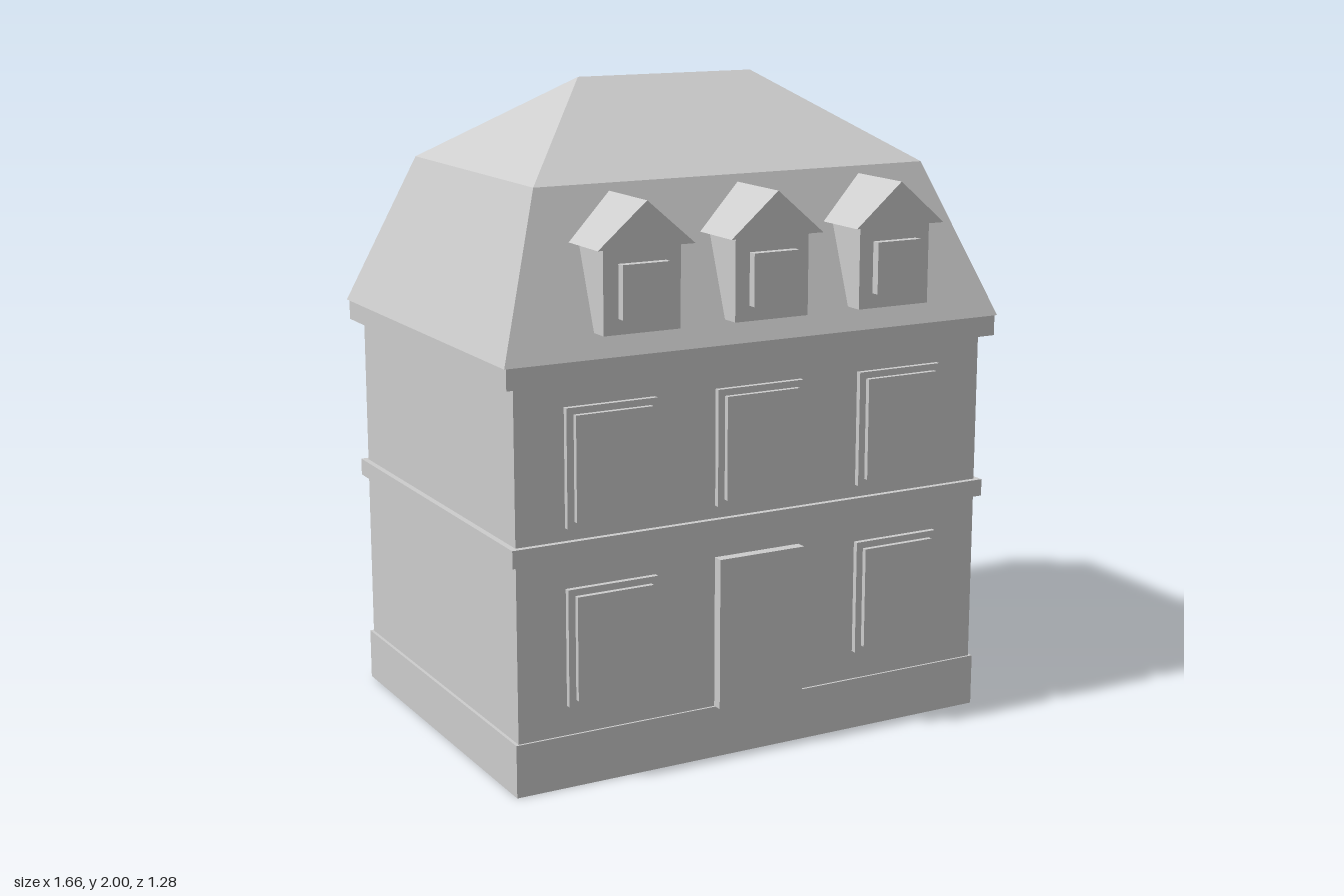
import * as THREE from 'three';

const stone = new THREE.MeshStandardMaterial({ color: 0xcccccc });
stone.name = 'pale grey';

const ZC = -0.03; // the house body sits slightly behind the centre

export function createModel() {
  const house = new THREE.Group();
  house.name = 'house';

  function add(name, geometry, parent = house) {
    const mesh = new THREE.Mesh(geometry, stone);
    mesh.name = name;
    parent.add(mesh);
    return mesh;
  }

  // Box given by its limits on each axis
  function box(name, x0, x1, y0, y1, z0, z1, parent) {
    const mesh = add(name, new THREE.BoxGeometry(x1 - x0, y1 - y0, z1 - z0), parent);
    mesh.position.set((x0 + x1) / 2, (y0 + y1) / 2, (z0 + z1) / 2);
    return mesh;
  }

  // Box centred on the house axis
  const tier = (name, hx, hz, y0, y1) => box(name, -hx, hx, y0, y1, ZC - hz, ZC + hz);

  // Box whose top is narrowed to the given half sizes
  function taperedTier(name, hx, hz, topX, topZ, y0, y1) {
    const mesh = tier(name, hx, hz, y0, y1);
    const p = mesh.geometry.attributes.position;
    for (let i = 0; i < p.count; i++) {
      if (p.getY(i) > 0) {
        p.setX(i, Math.sign(p.getX(i)) * topX);
        p.setZ(i, Math.sign(p.getZ(i)) * topZ);
      }
    }
    mesh.geometry = mesh.geometry.toNonIndexed();
    mesh.geometry.computeVertexNormals();
    return mesh;
  }

  // Masonry
  tier('foundation', 0.8, 0.577, 0, 0.16);
  tier('walls', 0.79, 0.57, 0.16, 1.21);
  tier('beltCourse', 0.808, 0.588, 0.692, 0.745);
  tier('cornice', 0.825, 0.604, 1.207, 1.27);

  // Mansard roof: steep lower slope
  taperedTier('lowerRoof', 0.832, 0.608, 0.655, 0.432, 1.27, 1.737);

  // Hipped upper slope ending in a ridge
  const a = [-0.655, 1.737, ZC + 0.432], b = [0.655, 1.737, ZC + 0.432];
  const c = [0.655, 1.737, ZC - 0.432], d = [-0.655, 1.737, ZC - 0.432];
  const r = [-0.3, 2, ZC], s = [0.3, 2, ZC];
  const hip = new THREE.BufferGeometry();
  hip.setAttribute('position', new THREE.Float32BufferAttribute(
    [a, b, s, a, s, r, c, d, r, c, r, s, b, c, s, d, a, r].flat(), 3));
  hip.computeVertexNormals();
  add('upperRoof', hip);

  // Window: a frame plate with a raised pane; side is 1 for front, -1 for back
  function addWindow(x, y0, y1, halfW, side) {
    const win = new THREE.Group();
    win.name = side > 0 ? 'frontWindow' : 'backWindow';
    win.position.set(x, (y0 + y1) / 2, ZC + side * 0.57);
    if (side < 0) win.rotation.y = Math.PI;
    const h = (y1 - y0) / 2;
    box('windowFrame', -halfW, halfW, -h, h, -0.02, 0.017, win);
    box('windowPane', -halfW + 0.022, halfW - 0.022, -h + 0.02, h - 0.02, -0.02, 0.033, win);
    house.add(win);
  }
  for (const i of [-1, 0, 1]) {
    addWindow(i * 0.49, 0.783, 1.135, 0.145, 1);
    addWindow(i * 0.445, 0.783, 1.115, 0.132, -1);
    if (i) addWindow(i * 0.49, 0.25, 0.603, 0.145, 1);
  }
  box('door', -0.145, 0.145, 0.16, 0.625, 0.5, 0.573);

  // Dormers with gabled roofs
  const gable = new THREE.Shape([
    new THREE.Vector2(-0.153, 1.585),
    new THREE.Vector2(0.153, 1.585),
    new THREE.Vector2(0, 1.715),
  ]);
  for (const x of [-0.422, 0, 0.422]) {
    const dormer = new THREE.Group();
    dormer.name = 'dormer';
    dormer.position.x = x;
    box('dormerBody', -0.122, 0.122, 1.34, 1.585, 0.4, 0.61, dormer);
    box('dormerWindow', -0.075, 0.075, 1.385, 1.54, 0.58, 0.637, dormer);
    const roof = add('dormerRoof', new THREE.ExtrudeGeometry(gable, { depth: 0.25, bevelEnabled: false }), dormer);
    roof.position.z = 0.39;
    house.add(dormer);
  }

  return house;
}
